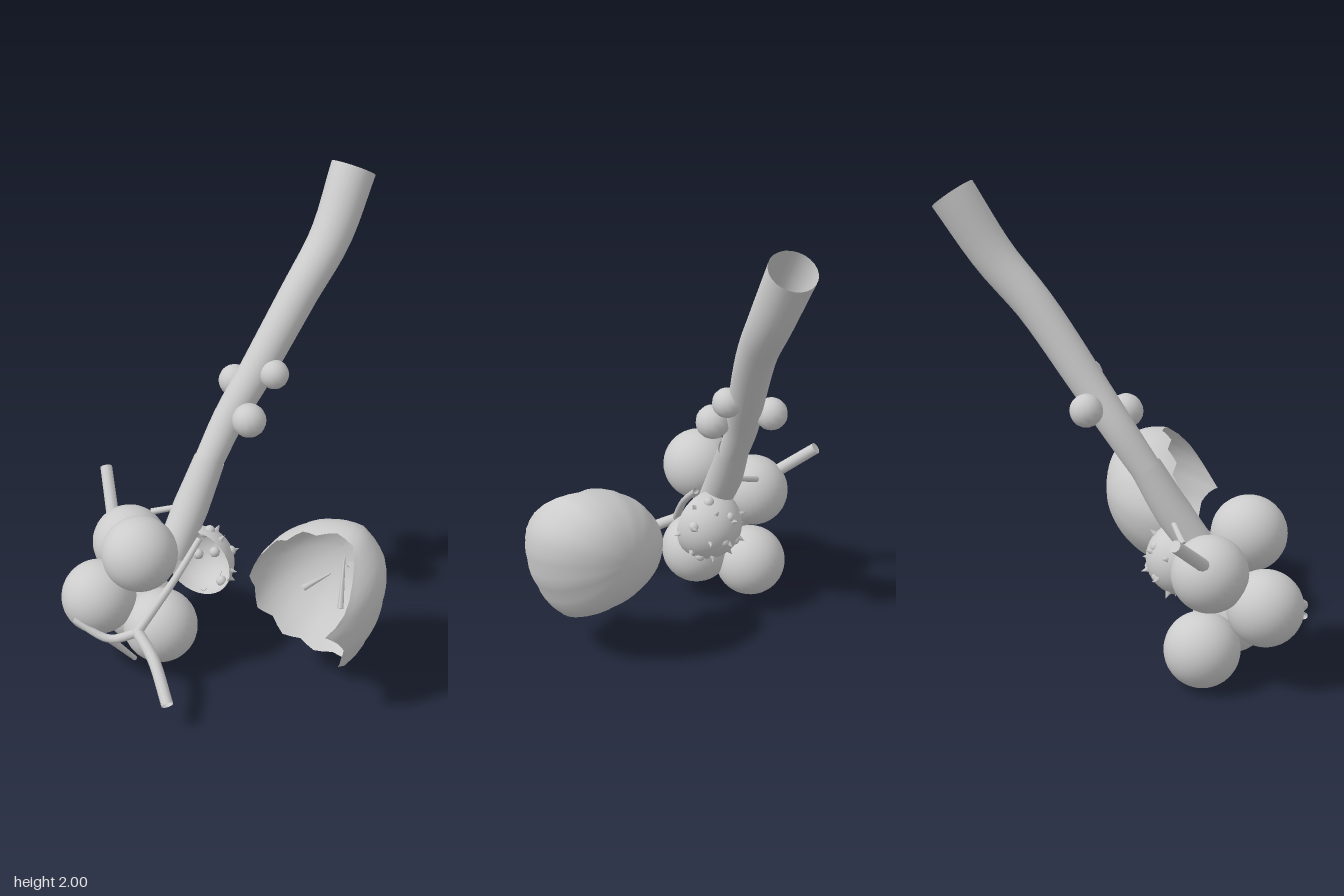
import * as THREE from 'three';

const mat = new THREE.MeshStandardMaterial({ color: 0xcccccc, side: THREE.DoubleSide });
const V = (p) => new THREE.Vector3(...p);

function add(group, name, geometry) {
  const mesh = new THREE.Mesh(geometry, mat);
  mesh.name = name;
  group.add(mesh);
  return mesh;
}

function ball(group, name, p, r, w = 32, h = 20) {
  add(group, name, new THREE.SphereGeometry(r, w, h)).position.set(...p);
}

// Reads a list of evenly spaced values at t (0..1), blending between neighbours
function sample(list, t, wrap = false) {
  const n = list.length, f = t * (wrap ? n : n - 1), i = Math.floor(f);
  const next = wrap ? (i + 1) % n : Math.min(i + 1, n - 1);
  return THREE.MathUtils.lerp(list[i % n], list[next], f - i);
}

// Open tube whose radius changes along its path
function taperTube(points, radii, segs = 16, sides = 20) {
  const curve = new THREE.CatmullRomCurve3(points.map(V));
  const geo = new THREE.TubeGeometry(curve, segs, 1, sides);
  const pos = geo.attributes.position, p = new THREE.Vector3();
  for (let i = 0; i < pos.count; i++) {
    const t = Math.floor(i / (sides + 1)) / segs, c = curve.getPointAt(t);
    p.fromBufferAttribute(pos, i).sub(c).multiplyScalar(sample(radii, t)).add(c);
    pos.setXYZ(i, p.x, p.y, p.z);
  }
  return geo;
}

// Straight stick or spike between two points
function stick(group, name, a, b, r0, r1, sides = 10) {
  const from = V(a), dir = V(b).sub(from), len = dir.length();
  const geo = new THREE.CylinderGeometry(r1, r0, len, sides);
  const mesh = add(group, name, geo);
  mesh.position.copy(from).addScaledVector(dir, 0.5);
  mesh.quaternion.setFromUnitVectors(new THREE.Vector3(0, 1, 0), dir.normalize());
}

// Broken shell, closed at the back and open to the front:
// radii and rim angles (degrees from the back pole) are listed around z
function shell(center, backRadius, radii, rims, lift = 0, cols = 48, rows = 16) {
  const pos = [], index = [];
  for (let i = 0; i <= rows; i++) {
    for (let j = 0; j < cols; j++) {
      const phi = (j / cols) * Math.PI * 2;
      const th = THREE.MathUtils.degToRad(sample(rims, j / cols, true)) * i / rows;
      const s = Math.sin(th), c = Math.cos(th);
      const r = THREE.MathUtils.lerp(backRadius, sample(radii, j / cols, true), s * s);
      pos.push(center[0] + r * s * Math.cos(phi),
        center[1] + r * s * Math.sin(phi) + lift * c, center[2] - r * c);
      if (i === rows) continue;
      const a = i * cols + j, b = i * cols + (j + 1) % cols;
      index.push(a, a + cols, b, b, a + cols, b + cols);
    }
  }
  const geo = new THREE.BufferGeometry();
  geo.setAttribute('position', new THREE.Float32BufferAttribute(pos, 3));
  geo.setIndex(index);
  geo.computeVertexNormals();
  return geo;
}

export function createModel() {
  const model = new THREE.Group();
  model.name = 'berryBranch';

  // Main stem and the socket it sits in
  add(model, 'stem', taperTube([
    [-0.185, 0.85, 0.045], [-0.14, 1.02, -0.065], [-0.07, 1.2, -0.18], [0.035, 1.5, -0.375],
    [0.1, 1.7, -0.535], [0.13, 1.95, -0.69],
  ], [0.062, 0.07, 0.076, 0.08, 0.088, 0.096], 20, 24));
  add(model, 'stemBase', taperTube([
    [-0.18, 0.865, 0.04], [-0.215, 0.69, 0.14], [-0.25, 0.5, 0.27],
  ], [0.066, 0.076, 0.07], 8, 24));

  // Cluster of large berries
  const berries = new THREE.Group();
  berries.name = 'berries';
  model.add(berries);
  [[-0.43, 0.16, 0.23], [-0.245, 0.22, 0.387], [-0.487, 0.35, 0.475],
    [-0.3, 0.602, 0.445], [-0.457, 0.5, 0.252]]
    .forEach((p) => ball(berries, 'berry', p, 0.157));

  // Small buds on the stem
  [[[-0.182, 1.12, -0.203], 0.068], [[0.018, 1.212, -0.168], 0.062], [[-0.025, 1.06, -0.018], 0.072]]
    .forEach(([p, r]) => ball(model, 'bud', p, r, 14, 10));

  // Opened berry with seeds inside and thorns outside
  const c = [-0.16, 0.45, 0.2], R = 0.155;
  const opened = new THREE.Group();
  opened.name = 'openedBerry';
  model.add(opened);
  add(opened, 'openedBerryShell', shell(c, R, [R], [94, 90], 0, 32, 12));
  [[-0.15, 0.42], [-0.04, 0.5], [-0.13, 0.585], [-0.08, 0.34], [-0.22, 0.4], [-0.19, 0.52]]
    .forEach(([x, y]) => {
      const z = c[2] - Math.sqrt(R * R - (x - c[0]) ** 2 - (y - c[1]) ** 2);
      ball(opened, 'seed', [x, y, z + 0.015], 0.023, 10, 8);
    });
  for (let i = 0; i < 16; i++) {
    const z = -(i + 0.5) / 16, s = Math.sqrt(1 - z * z), a = i * 2.4;
    const at = (r) => [c[0] + s * Math.cos(a) * r, c[1] + s * Math.sin(a) * r, c[2] + z * r];
    stick(opened, 'thorn', at(R - 0.005), at(R + 0.028), 0.015, 0, 4);
  }

  // Large broken shell: rounder on the upper left, with a hood wrapping forward
  add(model, 'brokenShell', shell([0.4, 0.49, 0.25], 0.285,
    [0.28, 0.32, 0.335, 0.285, 0.258, 0.267, 0.295, 0.298, 0.285, 0.285, 0.312, 0.275],
    [138, 147, 128, 112, 92, 85, 90, 84, 90, 84, 90, 83,
      90, 84, 90, 83, 90, 84, 90, 86, 92, 122, 127, 130], 0.06));
  [[[0.31, 0.435, 0.16], [0.405, 0.5, 0.1]], [[0.53, 0.48, 0.285], [0.49, 0.65, 0.16]],
    [[0.54, 0.66, 0.22], [0.48, 0.56, 0.1]]]
    .forEach(([a, b]) => stick(model, 'shellSplinter', a, b, 0.014, 0.004, 5));

  // Twigs
  stick(model, 'backTwig', [-0.5, 0.5, 0.29], [-0.665, 0.715, 0.07], 0.028, 0.026);
  stick(model, 'sideTwig', [-0.4, 0.61, 0.155], [-0.27, 0.66, 0.135], 0.014, 0.012);
  add(model, 'frontTwig', taperTube([
    [-0.13, 0.6, 0.24], [-0.17, 0.48, 0.38], [-0.26, 0.29, 0.56],
  ], [0.013, 0.016, 0.02], 10, 10));
  add(model, 'frontTwigArm', taperTube([
    [-0.27, 0.295, 0.55], [-0.15, 0.24, 0.63], [-0.02, 0.135, 0.755],
  ], [0.024, 0.025, 0.025], 10, 10));
  add(model, 'sideTwigArm', taperTube([
    [-0.26, 0.29, 0.56], [-0.37, 0.25, 0.6], [-0.52, 0.32, 0.63],
  ], [0.02, 0.018, 0.014], 10, 10));
  stick(model, 'lowerTwigArm', [-0.37, 0.25, 0.6], [-0.31, 0.1, 0.5], 0.016, 0.01);

  return model;
}
